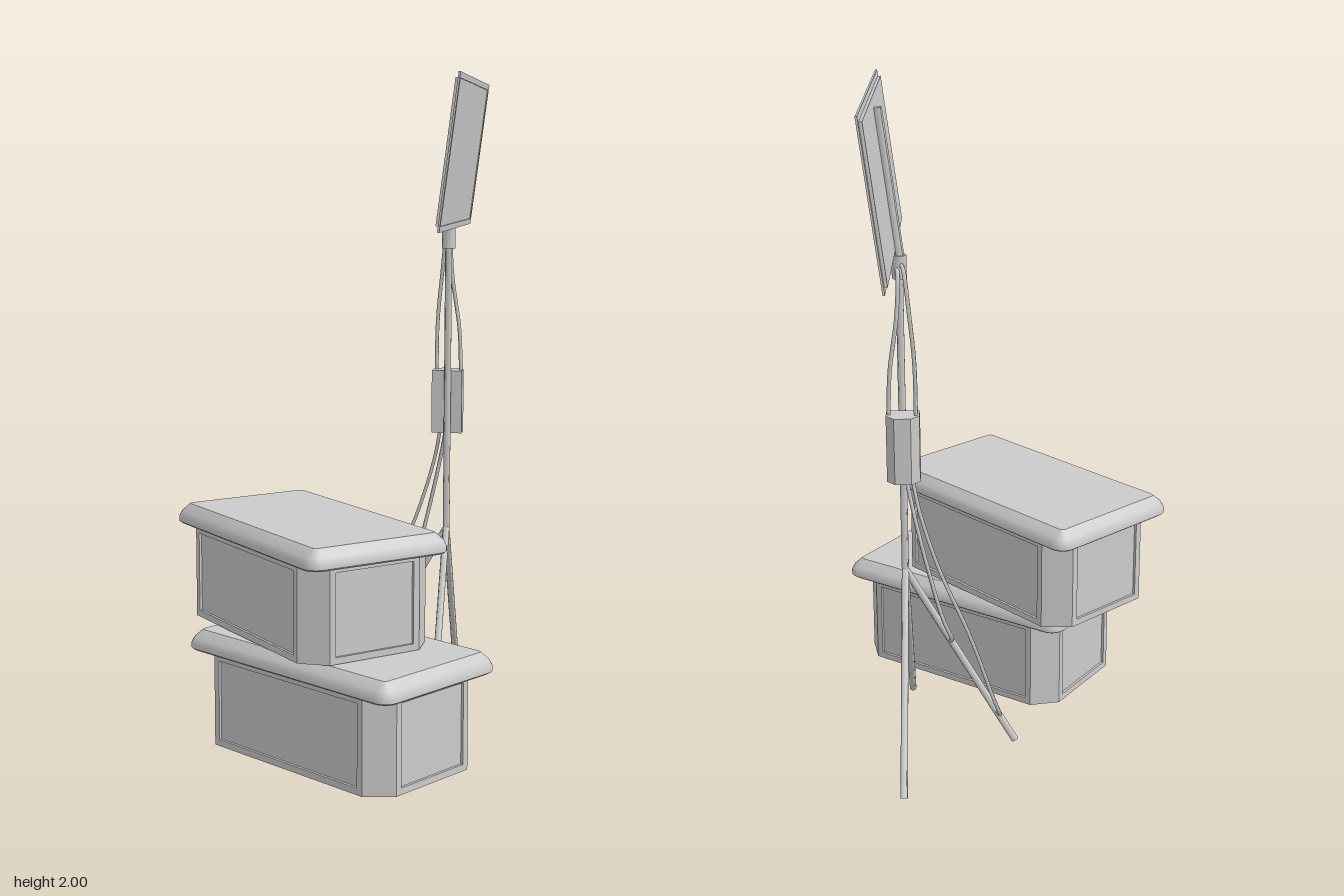
import * as THREE from 'three';
import { toCreasedNormals } from 'three/addons/utils/BufferGeometryUtils.js';

const material = new THREE.MeshStandardMaterial({ color: 0xcccccc });
const V = (x, y, z) => new THREE.Vector3(x, y, z);

function add(parent, geometry, name) {
  const mesh = new THREE.Mesh(geometry, material);
  mesh.name = name;
  parent.add(mesh);
  return mesh;
}

// Straight round bar between two points
function bar(parent, a, b, radius, name, sides = 10) {
  const mesh = add(parent, toCreasedNormals(new THREE.CylinderGeometry(radius, radius, a.distanceTo(b), sides), 0.8), name);
  mesh.position.copy(a).lerp(b, 0.5);
  mesh.quaternion.setFromUnitVectors(V(0, 1, 0), b.clone().sub(a).normalize());
  return mesh;
}

// Flat rectangular ring lying in xy, extruded along +z
function ringGeometry(w, h, border, depth) {
  const rect = (a, b) => [[-a, -b], [a, -b], [a, b], [-a, b]].map(p => new THREE.Vector2(...p));
  const shape = new THREE.Shape(rect(w / 2, h / 2));
  shape.holes.push(new THREE.Path(rect(w / 2 - border, h / 2 - border)));
  return new THREE.ExtrudeGeometry(shape, { depth, bevelEnabled: false });
}

// Prism standing on y = 0 from an outline given as [x, z]
function prism(points, height) {
  const shape = new THREE.Shape(points.map(([x, z]) => new THREE.Vector2(x, -z)));
  return new THREE.ExtrudeGeometry(shape, { depth: height, bevelEnabled: false }).rotateX(-Math.PI / 2);
}

// Rounded rectangular lid, lofted from rows of [halfLength, halfWidth, cornerRadius, y]
function lidGeometry(L, W) {
  const rows = [
    [0, 0, 0, 0], [L - 0.008, W - 0.008, 0.04, 0], [L, W, 0.045, 0.006], [L, W, 0.045, 0.02],
    [L - 0.01, W - 0.01, 0.035, 0.038], [L - 0.034, W - 0.034, 0.014, 0.06], [0, 0, 0, 0.06],
  ];
  const steps = 5, n = 4 * (steps + 1), pos = [], index = [];
  for (const [l, w, r, y] of rows) {
    for (let q = 0; q < 4; q++) {
      const sx = q === 0 || q === 3 ? 1 : -1, sz = q < 2 ? 1 : -1;
      for (let s = 0; s <= steps; s++) {
        const a = (q + s / steps) * Math.PI / 2;
        pos.push(sx * (l - r) + r * Math.cos(a), y, sz * (w - r) + r * Math.sin(a));
      }
    }
  }
  for (let k = 0; k < rows.length - 1; k++) {
    for (let i = 0; i < n; i++) {
      const a = k * n + i, b = k * n + (i + 1) % n;
      if (k < rows.length - 2) index.push(b, a + n, b + n);
      if (k > 0) index.push(a, a + n, b);
    }
  }
  const g = new THREE.BufferGeometry();
  g.setAttribute('position', new THREE.Float32BufferAttribute(pos, 3));
  g.setIndex(index);
  return toCreasedNormals(g, 0.6);
}

// Chamfered case with recessed side panels and an overhanging lid
function createCase(name, x, y, z, degrees) {
  const group = new THREE.Group();
  group.name = name;
  const L = 0.372, W = 0.217, c = 0.067, d = 0.008, h = 0.282;
  const outline = [];
  for (const [sx, sz] of [[1, 1], [-1, 1], [-1, -1], [1, -1]]) {
    const corner = [[L - d, W - c], [L, W - c], [L - c, W], [L - c, W - d]];
    if (sx * sz < 0) corner.reverse();
    for (const [px, pz] of corner) outline.push([sx * px, sz * pz]);
  }
  add(group, prism(outline, h), 'caseBody');
  for (let i = 0; i < 4; i++) {
    const long = i % 2 === 0;
    const frame = add(group, ringGeometry(2 * ((long ? L : W) - c), h, 0.02, d), 'panelFrame');
    frame.geometry.translate(0, h / 2, (long ? W : L) - d);
    frame.rotation.y = i * Math.PI / 2;
  }
  add(group, lidGeometry(0.413, 0.238), 'caseLid').position.y = h - 0.002;
  group.position.set(x, y, z);
  group.rotation.y = -THREE.MathUtils.degToRad(degrees);
  return group;
}

function createStand() {
  const stand = new THREE.Group();
  stand.name = 'tripodStand';
  const px = 0.292, pz = -0.276, hub = V(px, 0.585, pz);
  bar(stand, V(px, 0.56, pz), V(px, 1.5, pz), 0.011, 'pole');
  for (const [x, z] of [[px, 0.055], [px, -0.608], [-0.035, pz]]) {
    bar(stand, hub, V(x, 0.008, z), 0.011, 'tripodLeg');
  }
  bar(stand, V(px, 1.478, pz), V(px, 1.545, pz), 0.021, 'collar', 8);

  // Control box with chamfered back corners
  const box = [[-0.048, 0.038], [-0.048, -0.012], [-0.024, -0.038], [0.024, -0.038], [0.048, -0.012], [0.048, 0.038]];
  add(stand, prism(box.reverse(), 0.2), 'controlBox').position.set(0.288, 0.89, -0.328);

  // Cables from the collar to the box and from the box to the rear leg
  const cables = [
    [[0.285, 1.52, -0.29], [0.278, 1.51, -0.318], [0.265, 1.4, -0.338], [0.252, 1.25, -0.338], [0.25, 1.08, -0.33]],
    [[0.298, 1.51, -0.29], [0.295, 1.49, -0.308], [0.3, 1.38, -0.325], [0.322, 1.22, -0.33], [0.329, 1.08, -0.325]],
    [[0.265, 0.9, -0.32], [0.245, 0.8, -0.338], [0.19, 0.62, -0.35], [0.1, 0.4, -0.352], [0.03, 0.18, -0.335], [0.01, 0.11, -0.305], [0.02, 0.11, -0.28]],
    [[0.285, 0.9, -0.302], [0.265, 0.8, -0.322], [0.225, 0.62, -0.333], [0.18, 0.44, -0.322], [0.155, 0.365, -0.3], [0.16, 0.35, -0.28]],
  ];
  for (const points of cables) {
    const curve = new THREE.CatmullRomCurve3(points.map(p => V(...p)));
    add(stand, new THREE.TubeGeometry(curve, 32, 0.006, 6), 'cable');
  }

  // Tilted panel: thin front frame, inset slab and rear support bar
  const panel = new THREE.Group();
  panel.name = 'tiltedPanel';
  const w = 0.83, h = 0.462;
  add(panel, ringGeometry(w, h, 0.018, 0.006), 'panelRim');
  add(panel, new THREE.BoxGeometry(w - 0.034, h - 0.034, 0.012), 'panelSlab').position.z = -0.003;
  bar(panel, V(0, -0.28, -0.018), V(0, 0.185, -0.018), 0.013, 'panelSupport', 8);
  panel.position.set(0.337, 1.771, -0.28);
  panel.rotation.order = 'YXZ';
  panel.rotation.set(THREE.MathUtils.degToRad(7.3), Math.PI / 2, 0);
  stand.add(panel);
  return stand;
}

export function createModel() {
  const model = new THREE.Group();
  model.name = 'stackedCasesWithStand';
  model.add(createCase('lowerCase', 0.044, 0.015, 0.274, 34));
  model.add(createCase('upperCase', -0.07, 0.357, 0.166, 47.5));
  model.add(createStand());
  return model;
}
